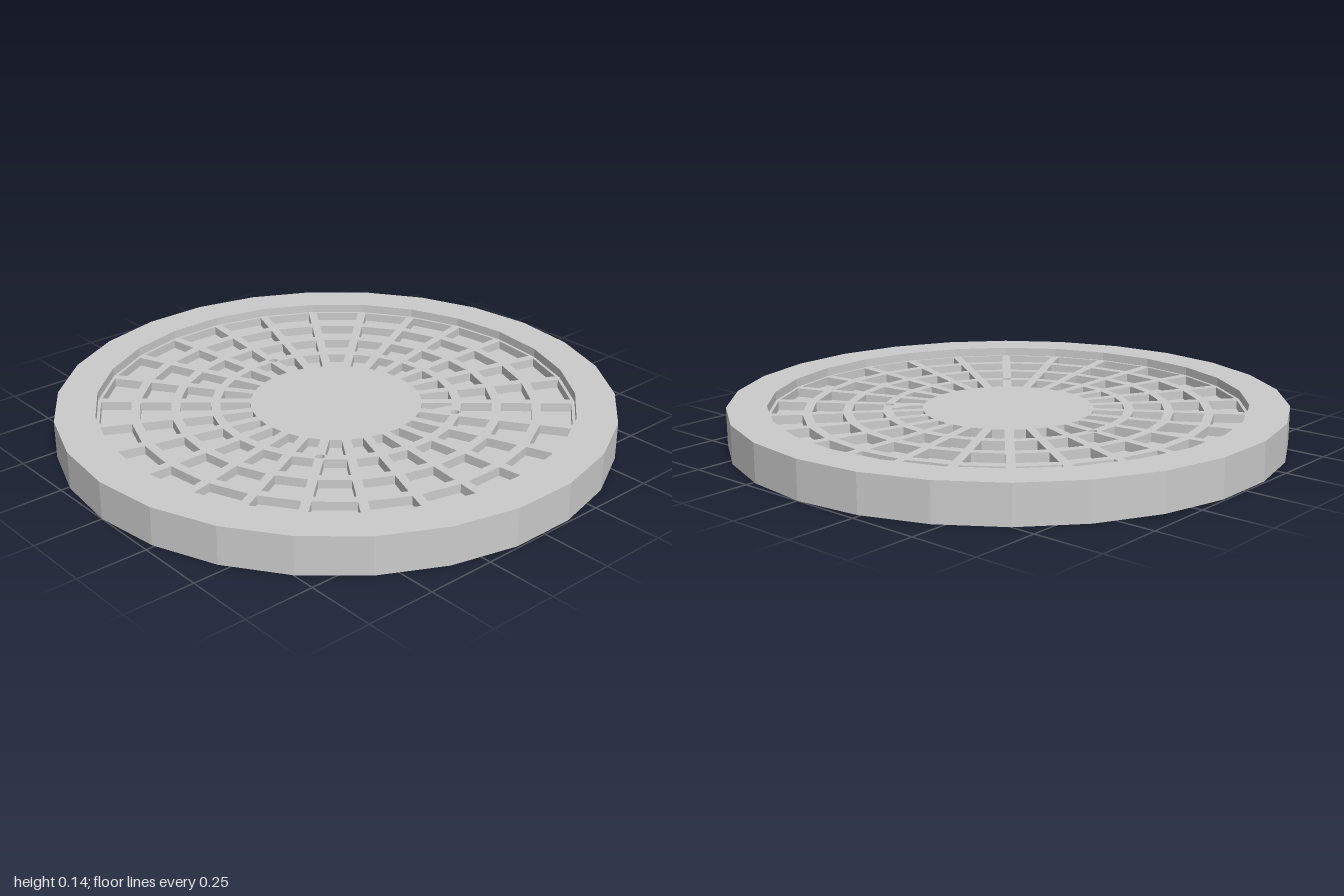
import * as THREE from 'three';
import { mergeGeometries } from 'three/addons/utils/BufferGeometryUtils.js';

const SIDES = 26;
const STEP = (Math.PI * 2) / SIDES;
const TOP = 0.137, WEB = 0.105, POCKET = 0.073, PAD = 0.015;

const point = (r, a) => new THREE.Vector2(r * Math.cos(a), r * Math.sin(a));

// Counter-clockwise loops in plan: regular polygon, and trapezoid inside one sector
function polygon(radius, sides, cx = 0, cy = 0) {
  return Array.from({ length: sides }, (_, i) =>
    point(radius, (i / sides) * Math.PI * 2).add(new THREE.Vector2(cx, cy)));
}

function sectorLoop(sector, inner, outer, gap) {
  const turn = (sector + 0.5) * STEP;
  const half = (d) => d * Math.tan(STEP / 2) - gap;
  return [[inner, -half(inner)], [outer, -half(outer)], [outer, half(outer)], [inner, half(inner)]]
    .map(([x, y]) => new THREE.Vector2(x, y).rotateAround(new THREE.Vector2(), turn));
}

// Flat horizontal face with optional holes, facing up or down
function face(loop, holes, y, up = true) {
  const shape = new THREE.Shape(loop);
  shape.holes = holes.map((h) => new THREE.Path(h));
  const g = new THREE.ShapeGeometry(shape).toNonIndexed();
  g.deleteAttribute('uv');
  g.rotateX(-Math.PI / 2);
  g.translate(0, y, 0);
  if (!up) {
    const p = g.attributes.position;
    for (let i = 0; i < p.count; i += 3) {
      const a = new THREE.Vector3().fromBufferAttribute(p, i);
      p.setXYZ(i, p.getX(i + 1), p.getY(i + 1), p.getZ(i + 1));
      p.setXYZ(i + 1, a.x, a.y, a.z);
    }
    g.computeVertexNormals();
  }
  return g;
}

// Vertical wall along a loop, facing outward, or inward for openings
function wall(loop, y0, y1, inward = false) {
  const pts = inward ? [...loop].reverse() : loop;
  const pos = [];
  pts.forEach((p, i) => {
    const q = pts[(i + 1) % pts.length];
    pos.push(p.x, y0, -p.y, q.x, y0, -q.y, q.x, y1, -q.y);
    pos.push(p.x, y0, -p.y, q.x, y1, -q.y, p.x, y1, -p.y);
  });
  const g = new THREE.BufferGeometry();
  g.setAttribute('position', new THREE.Float32BufferAttribute(pos, 3));
  g.computeVertexNormals();
  return g;
}

export function createModel() {
  const group = new THREE.Group();
  const material = new THREE.MeshStandardMaterial({ color: 0xcccccc, flatShading: true });
  const add = (name, parts) => {
    const mesh = new THREE.Mesh(mergeGeometries(parts), material);
    mesh.name = name;
    group.add(mesh);
  };

  const outline = polygon(1, SIDES);
  const recess = polygon(0.858, SIDES);

  // Four rings of pockets separated by radial and ring ribs
  const pockets = [];
  for (let ring = 0; ring < 4; ring++) {
    const inner = 0.307 + ring * 0.1415;
    for (let s = 0; s < SIDES; s++) pockets.push(sectorLoop(s, inner, inner + 0.109, 0.016));
  }

  // Three small through holes at the rib crossings
  const bolts = [82.5, -138.3, -53.5].map((deg) => {
    const c = point(0.4316, THREE.MathUtils.degToRad(deg));
    return polygon(0.0155, 16, c.x, c.y);
  });

  // Three shallow recesses in the underside
  const pads = [[1, 0.435, 0.71], [3, 0.577, 0.71], [5, 0.568, 0.855]]
    .map(([s, inner, outer]) => sectorLoop(s, inner, outer, 0.003));

  add('rim', [
    face(outline, [recess], TOP),
    wall(outline, 0, TOP),
    wall(recess, WEB, TOP, true),
  ]);
  add('ribbedPlate', [face(recess, [...pockets, ...bolts], WEB)]);
  add('pockets', pockets.flatMap((p) => [face(p, [], POCKET), wall(p, POCKET, WEB, true)]));
  add('throughHoles', bolts.map((b) => wall(b, 0, WEB, true)));
  add('underside', [face(outline, [...pads, ...bolts], 0, false)]);
  add('undersideRecesses', pads.flatMap((p) => [face(p, [], PAD, false), wall(p, 0, PAD, true)]));
  return group;
}
